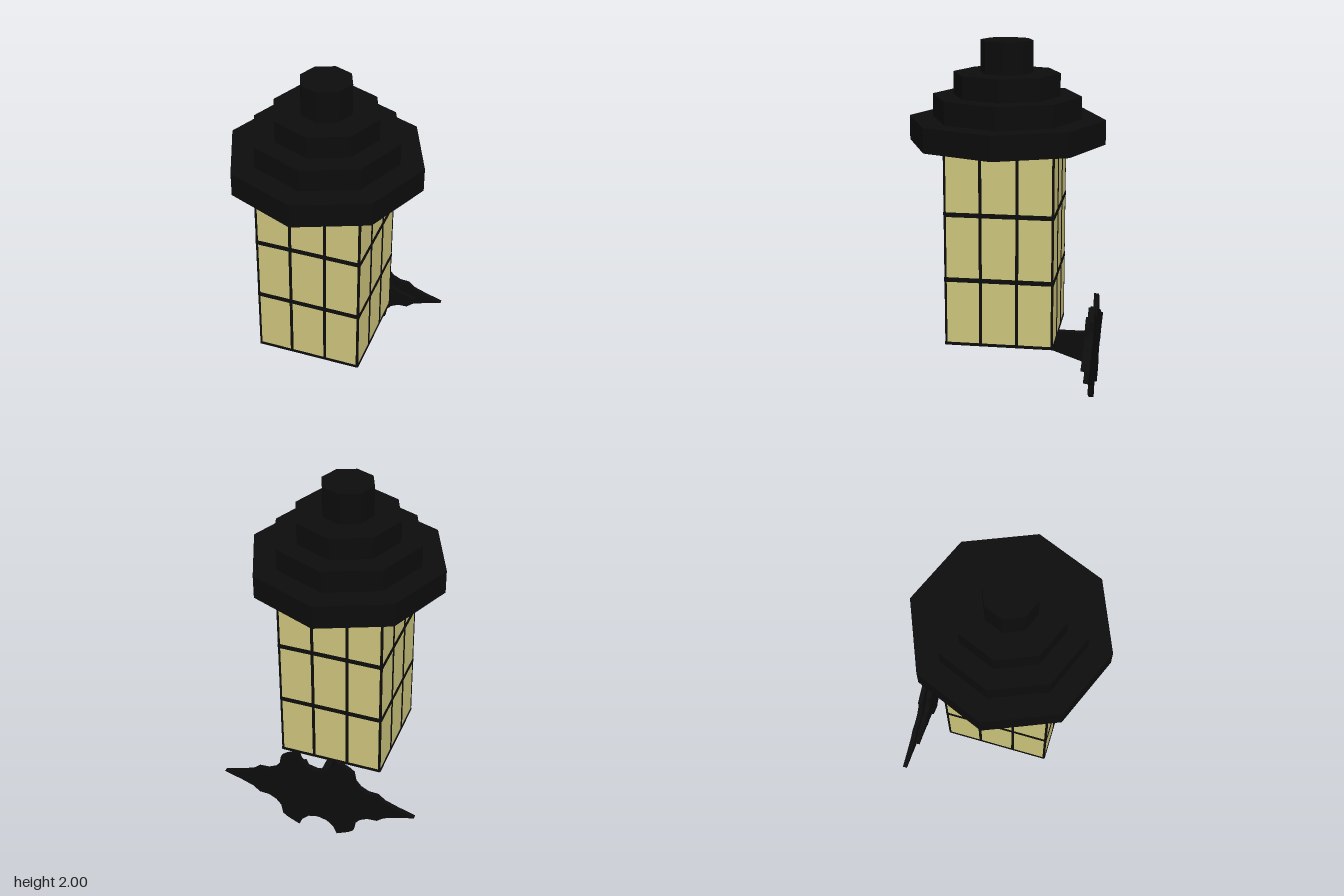
import * as THREE from 'three';

const mat = (color) => new THREE.MeshStandardMaterial({ color, flatShading: true });

export function createModel() {
  const model = new THREE.Group();
  const black = mat(0x0c0c0c), glass = mat(0xcdc47c), navy = mat(0x0b0226), grey = mat(0xcccccc);

  const add = (parent, name, geometry, material, x = 0, y = 0, z = 0) => {
    const mesh = new THREE.Mesh(geometry, material);
    mesh.name = name;
    mesh.position.set(x, y, z);
    parent.add(mesh);
    return mesh;
  };
  const box = (parent, name, w, h, d, material, x, y, z) =>
    add(parent, name, new THREE.BoxGeometry(w, h, d), material, x, y, z);

  // Stepped octagonal roof, corners on the axes
  const roof = new THREE.Group();
  roof.name = 'roof';
  model.add(roof);
  const tiers = [[0.545, 1.44, 1.575], [0.412, 1.575, 1.7], [0.295, 1.7, 1.825], [0.145, 1.825, 2]];
  tiers.forEach(([r, y0, y1], i) =>
    add(roof, `roofTier${i + 1}`, new THREE.CylinderGeometry(r, r, y1 - y0, 8), black, 0, (y0 + y1) / 2, 0));

  // Glass body with a lattice on each of the four sides
  const half = 0.297, bottom = 0.352, top = 1.44, midY = (bottom + top) / 2, height = top - bottom;
  box(model, 'glassBody', half * 2, height, half * 2, glass, 0, midY, 0);
  for (let side = 0; side < 4; side++) {
    const lattice = new THREE.Group();
    lattice.name = 'windowLattice';
    lattice.rotation.y = side * Math.PI / 2;
    model.add(lattice);
    for (const x of [-0.1, 0.1]) box(lattice, 'verticalBar', 0.016, height, 0.008, black, x, midY, half);
    for (const y of [0.724, 1.09]) box(lattice, 'horizontalBar', half * 2, 0.025, 0.008, black, 0, y, half);
    box(lattice, 'bottomRail', half * 2, 0.016, 0.008, black, 0, bottom + 0.002, half);
    box(lattice, 'cornerPost', 0.012, height, 0.012, black, half - 0.004, midY, half - 0.004);
  }

  // Underside: nine panes, the middle one pale, divided by bars
  for (let i = -1; i <= 1; i++) {
    for (let j = -1; j <= 1; j++) {
      const middle = i === 0 && j === 0;
      box(model, middle ? 'middleFloorPane' : 'floorPane', 0.198, 0.006, 0.198,
        middle ? grey : navy, i * 0.198, 0.35, j * 0.198);
    }
  }
  for (const p of [-0.1, 0.1]) {
    box(model, 'floorBar', 0.016, 0.01, half * 2, black, p, 0.35, 0);
    box(model, 'floorBar', half * 2, 0.01, 0.016, black, 0, 0.35, p);
  }

  // Wall plates: one quarter outline mirrored into a scalloped star
  const quarter = [
    [0.57, 0], [0.47, 0.03], [0.395, 0.058], [0.355, 0.092], [0.3, 0.095], [0.255, 0.118],
    [0.225, 0.155], [0.215, 0.215], [0.185, 0.238], [0.115, 0.272], [0.095, 0.225],
    [0.055, 0.188], [0, 0.175],
  ];
  const rest = quarter.slice(0, -1);
  const outline = [
    ...rest,
    ...quarter.slice(1).reverse().map(([x, y]) => [-x, y]),
    ...rest.map(([x, y]) => [-x, -y]),
    ...quarter.slice(1).reverse().map(([x, y]) => [x, -y]),
  ];
  const plate = (name, scale, z0, depth) => {
    const shape = new THREE.Shape(outline.map(([x, y]) => new THREE.Vector2(x * scale, y * scale)));
    add(model, name, new THREE.ExtrudeGeometry(shape, { depth, bevelEnabled: false }), black, 0, 0.275, z0);
  };
  plate('wallPlate', 1, -0.516, 0.026);
  plate('raisedPlate', 0.715, -0.49, 0.028);

  // Wedge arm from the plate to the middle of the underside
  const arm = new THREE.Shape([[-0.04, 0.347], [-0.04, 0.341], [0.465, 0.168], [0.465, 0.35], [0.2, 0.35]]
    .map(([x, y]) => new THREE.Vector2(x, y)));
  const armGeometry = new THREE.ExtrudeGeometry(arm, { depth: 0.04, bevelEnabled: false });
  armGeometry.translate(0, 0, -0.02).rotateY(Math.PI / 2);
  add(model, 'bracketArm', armGeometry, black);

  return model;
}
